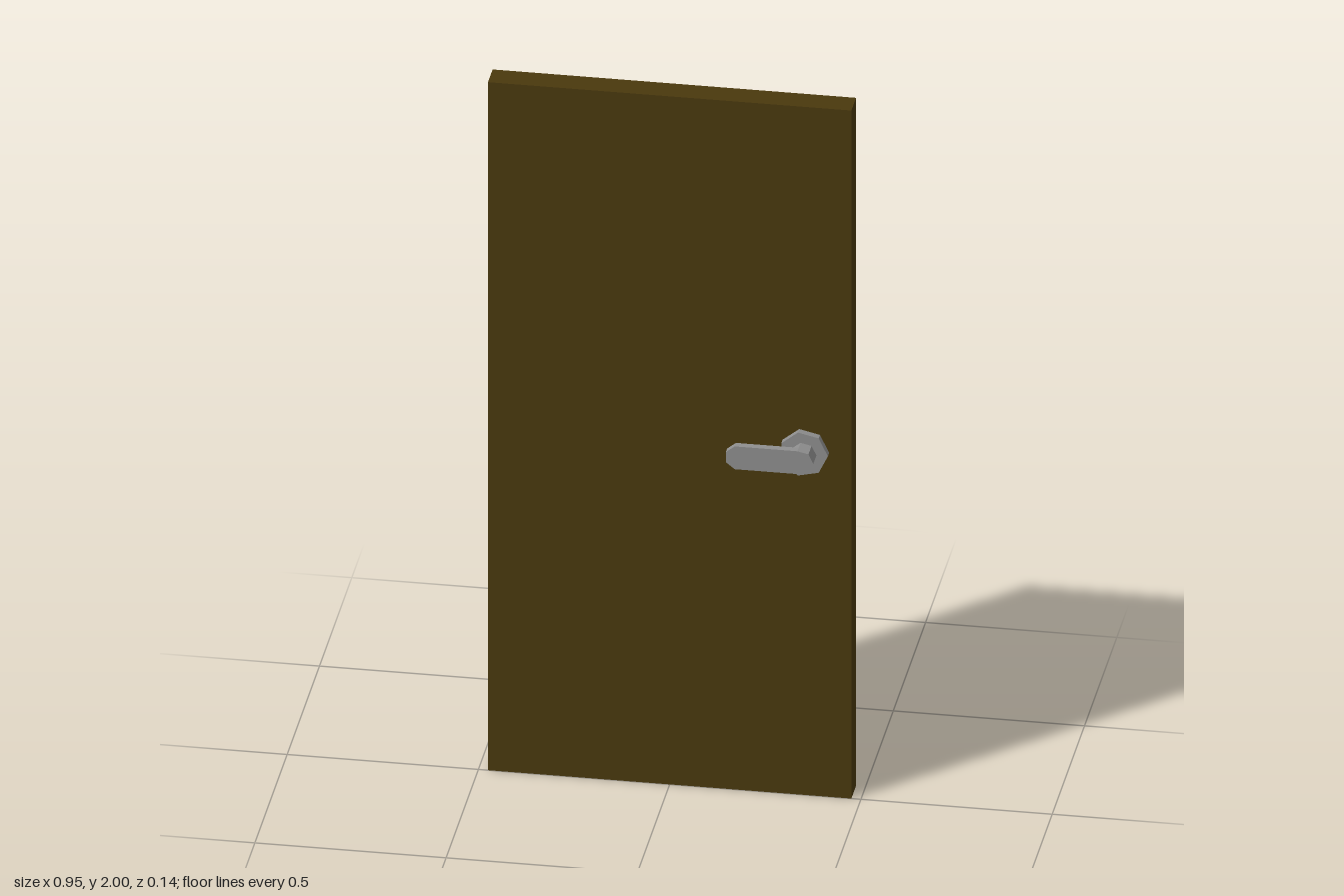
import * as THREE from 'three';

const HUB_X = 0.353, HUB_Y = 1.0;

// Corner points of a seven-sided outline, starting at +x
const heptagon = (r) => Array.from({ length: 7 }, (_, i) => {
  const a = (i / 7) * Math.PI * 2;
  return new THREE.Vector2(Math.cos(a) * r, Math.sin(a) * r);
});

// Flat-sided plate from an outline, spanning z0 to z1 on the hub axis
function plate(name, points, z0, z1, material) {
  const geometry = new THREE.ExtrudeGeometry(new THREE.Shape(points), { depth: z1 - z0, bevelEnabled: false });
  const mesh = new THREE.Mesh(geometry, material);
  mesh.name = name;
  mesh.position.set(HUB_X, HUB_Y, z0);
  return mesh;
}

export function createModel() {
  const wood = new THREE.MeshStandardMaterial({ color: 0x4a390d });
  wood.name = 'darkWood';
  const metal = new THREE.MeshStandardMaterial({ color: 0x8f8f8f });
  metal.name = 'greyMetal';

  const door = new THREE.Group();
  door.name = 'door';

  // Door slab
  const slab = new THREE.Mesh(new THREE.BoxGeometry(0.95, 2, 0.072), wood);
  slab.name = 'doorSlab';
  slab.position.set(0, 1, -0.036);
  door.add(slab);

  // Handle: rose, stem, and a lever that stretches the stem outline sideways
  const handle = new THREE.Group();
  handle.name = 'handle';
  const stem = heptagon(0.034);
  const lever = stem.map((p) => new THREE.Vector2(p.x, p.y));
  for (const i of [3, 4]) lever[i].x -= 0.164;
  lever.splice(2, 1, stem[2], new THREE.Vector2(stem[2].x - 0.164, stem[2].y));
  lever.splice(6, 1, new THREE.Vector2(stem[5].x - 0.164, stem[5].y), stem[5]);
  handle.add(
    plate('handleRose', heptagon(0.064), 0, 0.02, metal),
    plate('handleStem', stem, 0.02, 0.048, metal),
    plate('handleLever', lever, 0.048, 0.068, metal),
  );
  door.add(handle);
  return door;
}
